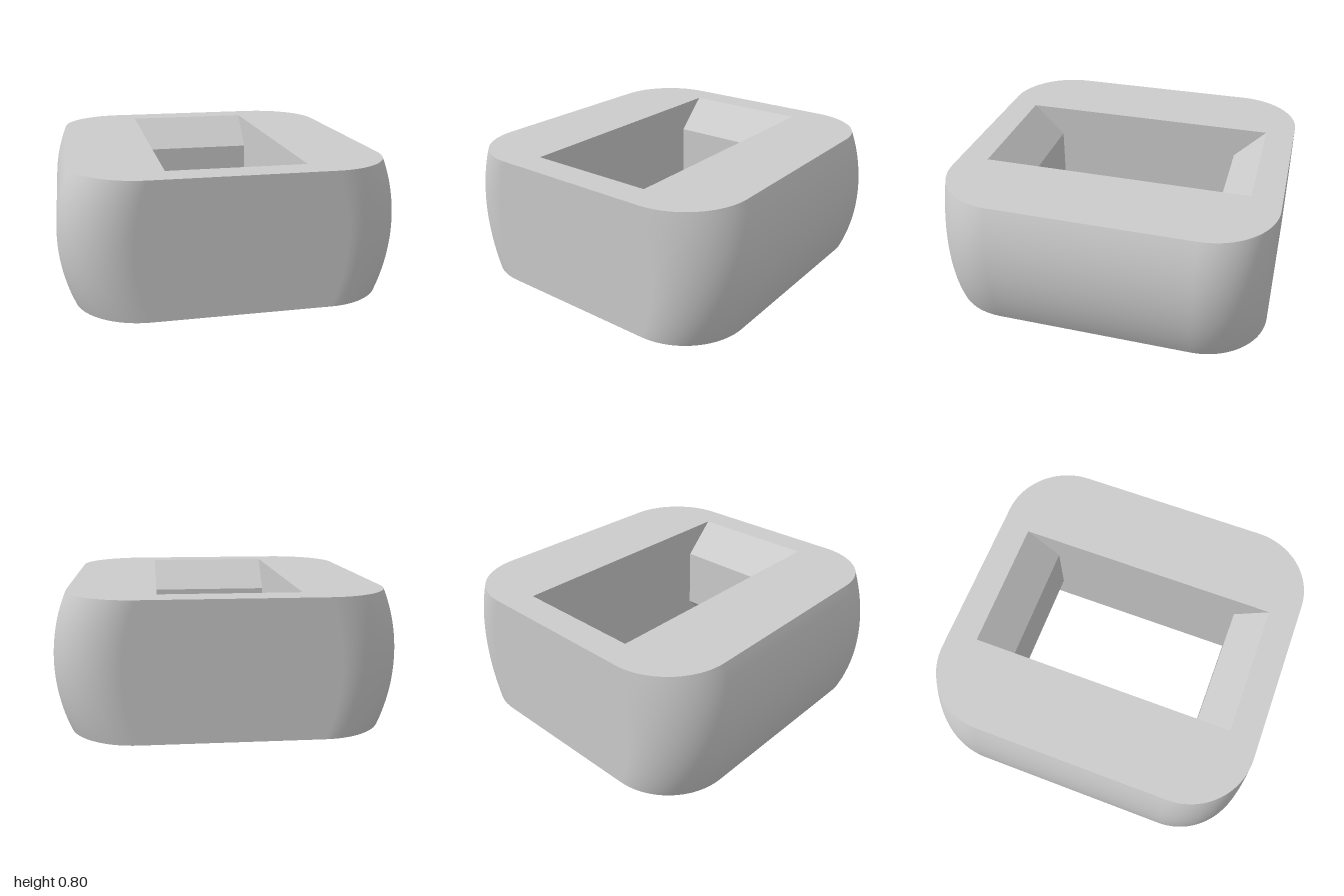
import * as THREE from 'three';

const HEIGHT = 0.8, HALF_DEPTH = 1, CORNER = 0.4, HOLE_X = 0.404;

// Rounded rectangle as [x, z] points; its sides bow out along a unit arc
function outline(y) {
  const halfWidth = Math.sqrt(1 - (y - HEIGHT / 2) ** 2);
  const points = [], steps = 20;
  for (let q = 0; q < 4; q++) {
    const sx = q === 0 || q === 3 ? 1 : -1, sz = q < 2 ? 1 : -1;
    for (let i = 0; i <= steps; i++) {
      const t = (q + i / steps) * Math.PI / 2;
      points.push([
        sx * (halfWidth - CORNER) + CORNER * Math.cos(t),
        sz * (HALF_DEPTH - CORNER) + CORNER * Math.sin(t),
      ]);
    }
  }
  return points;
}

// Rectangular slot section as [x, z] points
const slot = (z) => [[HOLE_X, z], [-HOLE_X, z], [-HOLE_X, -z], [HOLE_X, -z]];

// Joins stacked rings into a wall facing outward, or inward
function skin(rings, inward) {
  const n = rings[0].points.length, positions = [], index = [];
  for (const { y, points } of rings) for (const [x, z] of points) positions.push(x, y, z);
  for (let r = 0; r < rings.length - 1; r++) {
    for (let j = 0; j < n; j++) {
      const a = r * n + j, b = r * n + (j + 1) % n, c = a + n, d = b + n;
      if (inward) index.push(a, b, c, b, d, c);
      else index.push(a, c, b, b, c, d);
    }
  }
  const geometry = new THREE.BufferGeometry();
  geometry.setAttribute('position', new THREE.Float32BufferAttribute(positions, 3));
  geometry.setIndex(index);
  return geometry;
}

export function createModel() {
  const model = new THREE.Group();
  model.name = 'slottedBlock';
  const grey = new THREE.MeshStandardMaterial({ color: 0xcccccc });
  grey.name = 'plain grey';

  const add = (name, geometry) => {
    const mesh = new THREE.Mesh(geometry, grey);
    mesh.name = name;
    model.add(mesh);
  };

  // Smooth bulging outer wall
  const levels = 24, outerRings = [];
  for (let i = 0; i <= levels; i++) {
    const y = HEIGHT * i / levels;
    outerRings.push({ y, points: outline(y) });
  }
  const outer = skin(outerRings, false);
  outer.computeVertexNormals();
  add('outerWall', outer);

  // Slot through the middle, flared at both ends
  const profile = [[0, 0.82], [0.2, 0.62], [0.6, 0.62], [0.8, 0.82]];
  const inner = skin(profile.map(([y, z]) => ({ y, points: slot(z) })), true).toNonIndexed();
  inner.computeVertexNormals();
  add('slotWall', inner);

  // Flat top and bottom faces around the slot
  const toVectors = (points) => points.map(([x, z]) => new THREE.Vector2(x, z));
  const face = new THREE.Shape(toVectors(outline(0)));
  face.holes.push(new THREE.Path(toVectors(slot(0.82))));
  add('bottomFace', new THREE.ShapeGeometry(face).rotateX(Math.PI / 2));
  add('topFace', new THREE.ShapeGeometry(face).rotateX(-Math.PI / 2).translate(0, HEIGHT, 0));

  return model;
}
